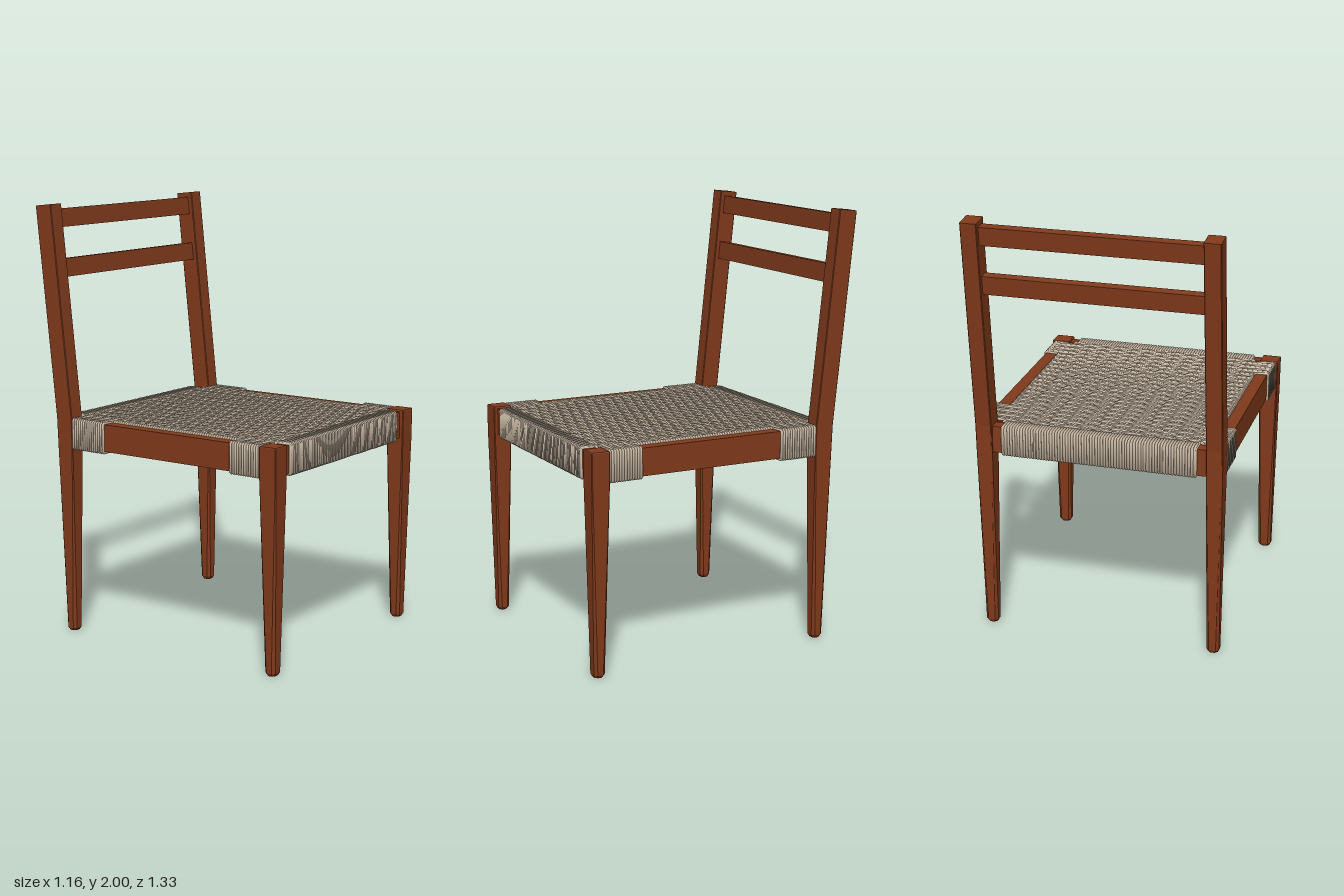
import * as THREE from 'three';
import { mergeGeometries } from 'three/addons/utils/BufferGeometryUtils.js';
import { ConvexGeometry } from 'three/addons/geometries/ConvexGeometry.js';

const TOP = 1.012, BOTTOM = 0.888;   // centre heights of the two woven layers
const CORD = 0.0066, SIDES = 8, PITCH = 0.0125;

// Convex post through chamfered rectangular sections [y, x, z, width, depth, chamfer, slope]
function post(sections) {
  const points = [];
  for (const [y, x, z, w, d, c, slope = 0] of sections) {
    for (const sx of [-1, 1]) for (const sz of [-1, 1]) {
      for (const [px, pz] of [[w / 2 - c, d / 2], [w / 2, d / 2 - c]]) {
        points.push(new THREE.Vector3(x + sx * px, y + slope * sz * pz, z + sz * pz));
      }
    }
  }
  return new ConvexGeometry(points);
}

// Round cord swept along a closed counter-clockwise path of [u, y] points, at offset w
function cordLoop(path, w) {
  const n = path.length, position = [], normal = [], index = [];
  const edgeNormal = (a, b) => new THREE.Vector2(b[1] - a[1], a[0] - b[0]).normalize();
  for (let i = 0; i < n; i++) {
    const a = edgeNormal(path[(i + n - 1) % n], path[i]);
    const b = edgeNormal(path[i], path[(i + 1) % n]);
    const m = a.clone().add(b).divideScalar(1 + a.dot(b));
    const unit = m.clone().normalize();
    for (let j = 0; j < SIDES; j++) {
      const c = Math.cos(j / SIDES * Math.PI * 2), s = Math.sin(j / SIDES * Math.PI * 2);
      position.push(path[i][0] + m.x * CORD * c, path[i][1] + m.y * CORD * c, w + CORD * s);
      normal.push(unit.x * c, unit.y * c, s);
      const i2 = (i + 1) % n, j2 = (j + 1) % SIDES;
      const p = i * SIDES + j, q = i2 * SIDES + j, r = i2 * SIDES + j2, t = i * SIDES + j2;
      index.push(p, q, r, p, r, t);
    }
  }
  const g = new THREE.BufferGeometry();
  g.setAttribute('position', new THREE.Float32BufferAttribute(position, 3));
  g.setAttribute('normal', new THREE.Float32BufferAttribute(normal, 3));
  g.setIndex(index);
  return g;
}

// Rectangle with cut corners; extra points may be woven into its bottom and top runs
function loopPath(u0, u1, y0, y1, bottom = [], top = []) {
  const c = 0.006;
  return [[u0 + c, y0], ...bottom, [u1 - c, y0], [u1, y0 + c],
    [u1, y1 - c], [u1 - c, y1], ...top, [u0 + c, y1], [u0, y1 - c], [u0, y0 + c]];
}

// Half-width of a crosswise cord: between the cross rails, around the side rails, or inside them
function weftHalf(z) {
  if (z < -0.47 || z > 0.58) return 0.465;
  return z < -0.28 || z > 0.413 ? 0.566 : 0.499;
}

export function createModel() {
  const model = new THREE.Group();
  const wood = new THREE.MeshStandardMaterial({ color: 0x813a1b });
  wood.name = 'reddish brown wood';
  const cord = new THREE.MeshStandardMaterial({ color: 0xc6b5a0 });
  cord.name = 'natural paper cord';

  const add = (name, geometry, material, x = 0, y = 0, z = 0) => {
    const mesh = new THREE.Mesh(geometry, material);
    mesh.name = name;
    mesh.position.set(x, y, z);
    model.add(mesh);
    return mesh;
  };

  // Legs, back posts and side rails, mirrored
  for (const [s, side] of [[1, 'left'], [-1, 'right']]) {
    add(side + 'FrontLeg', post([
      [0, s * 0.5365, 0.628, 0.046, 0.04, 0.012],
      [0.014, s * 0.5365, 0.628, 0.062, 0.053, 0.013],
      [0.88, s * 0.5365, 0.624, 0.087, 0.087, 0.003],
      [1.018, s * 0.5365, 0.624, 0.089, 0.088, 0.003],
      [1.022, s * 0.5365, 0.624, 0.084, 0.083, 0.003]]), wood);
    add(side + 'BackLeg', post([
      [0, s * 0.534, -0.503, 0.044, 0.04, 0.012],
      [0.014, s * 0.534, -0.503, 0.058, 0.054, 0.013],
      [0.88, s * 0.534, -0.511, 0.075, 0.087, 0.003],
      [1.02, s * 0.534, -0.515, 0.076, 0.09, 0.003]]), wood);
    add(side + 'BackPost', post([
      [1.02, s * 0.534, -0.515, 0.076, 0.09, 0.003],
      [1.995, s * 0.534, -0.62, 0.076, 0.09, 0.003, 0.11]]), wood);
    add(side + 'SeatRail', new THREE.BoxGeometry(0.056, 0.126, 1.06), wood, s * 0.534, 0.951, 0.06);
  }

  // Cross rails and back slats
  add('frontSeatRail', new THREE.BoxGeometry(1.0, 0.126, 0.058), wood, 0, 0.951, 0.621);
  add('backSeatRail', new THREE.BoxGeometry(1.0, 0.126, 0.055), wood, 0, 0.951, -0.517);
  for (const [name, y] of [['upperSlat', 1.93], ['lowerSlat', 1.703]]) {
    const slat = add(name, new THREE.BoxGeometry(1.0, 0.085, 0.045), wood, 0, y, -0.515 - 0.1077 * (y - 1.02));
    slat.rotation.x = -0.1073;
  }

  // Crosswise cords weave over and under the pairs; those by the legs also wrap the side rails
  const pairs = Array.from({ length: 13 }, (_, k) => (k - 6) * 0.0735);
  const weft = [];
  for (let i = -1; i < 85; i++) {
    const z = -0.464 + i * PITCH;
    const half = weftHalf(z);
    const wave = (y, out, flip) => pairs.flatMap((x, k) => {
      const h = y + out * ((k + (i >> 1) + flip) % 2 ? 0.006 : -0.002);
      return [[x - 0.013, h], [x + 0.013, h]];
    });
    weft.push(cordLoop(loopPath(-half, half, BOTTOM - 0.006, TOP + 0.006,
      wave(BOTTOM, -1, 0), wave(TOP, 1, 1).reverse()), z));
  }
  add('crosswiseCords', mergeGeometries(weft), cord);

  // Lengthwise pairs run around the front and back rails
  const warp = [];
  for (const x of pairs) for (const d of [-0.0065, 0.0065]) {
    warp.push(cordLoop(loopPath(-0.549, 0.654, BOTTOM - 0.002, TOP + 0.002), x + d));
  }
  add('lengthwiseCords', mergeGeometries(warp).rotateY(-Math.PI / 2), cord);

  // Close wraps around each cross rail
  for (const [name, z0, z1] of [['frontRailWraps', 0.591, 0.655], ['backRailWraps', -0.55, -0.486]]) {
    const wraps = [];
    for (let i = 0; i < 72; i++) {
      wraps.push(cordLoop(loopPath(z0, z1, BOTTOM - 0.005, TOP + 0.006), (i - 35.5) * PITCH));
    }
    add(name, mergeGeometries(wraps).rotateY(-Math.PI / 2), cord);
  }
  return model;
}
